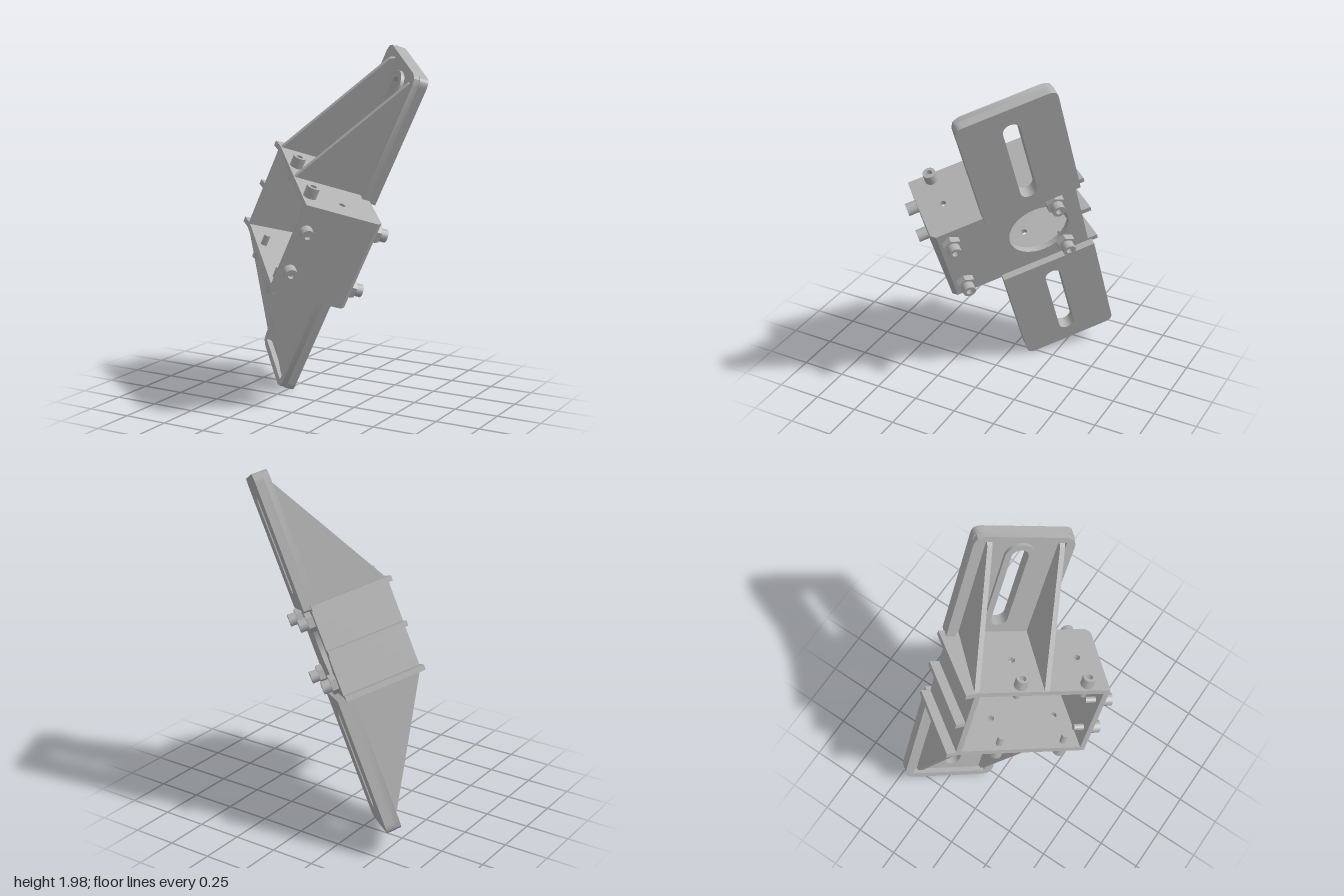
import * as THREE from 'three';
import { toCreasedNormals } from 'three/addons/utils/BufferGeometryUtils.js';

// Local frame: x = across the bracket, y = along the arms, z = towards the open side of the box.
export function createModel() {
  const model = new THREE.Group();
  model.name = 'motorBracket';
  const body = new THREE.Group();
  body.name = 'bracket';
  body.rotation.set(0, -Math.PI / 4, THREE.MathUtils.degToRad(-25), 'ZYX');
  body.position.set(0, 1, 0);
  model.add(body);

  const grey = new THREE.MeshStandardMaterial({ color: 0xb0b0b0 });
  grey.name = 'grey';

  const add = (geo, name, parent = body) => {
    const mesh = new THREE.Mesh(toCreasedNormals(geo, 0.6), grey);
    mesh.name = name;
    parent.add(mesh);
    return mesh;
  };
  const polygon = (pts) => new THREE.Shape(pts.map(([x, y]) => new THREE.Vector2(x, y)));
  const extrude = (shape, depth) =>
    new THREE.ExtrudeGeometry(shape, { depth, bevelEnabled: false, curveSegments: 16 });
  const circle = (x, y, r) => new THREE.Path().absarc(x, y, r, 0, Math.PI * 2, true);

  // profile in (x, z), extruded along y
  const slabY = (pts, y0, y1, name, holes = []) => {
    const s = polygon(pts.map(([x, z]) => [x, -z]));
    holes.forEach(([x, z, r]) => s.holes.push(circle(x, -z, r)));
    add(extrude(s, y1 - y0).rotateX(-Math.PI / 2).translate(0, y0, 0), name);
  };
  // shape in (x, y), extruded along z
  const slabZ = (shape, z0, z1, name) => add(extrude(shape, z1 - z0).translate(0, 0, z0), name);
  // profile in (z, y), extruded along x
  const slabX = (pts, x0, x1, name) =>
    add(extrude(polygon(pts.map(([z, y]) => [-z, y])), x1 - x0)
      .rotateY(Math.PI / 2).translate(x0, 0, 0), name);

  // Stadium outline around x = cx, from y0 to y1
  const stadium = (path, cx, y0, y1, r) => {
    path.moveTo(cx + r, y0 + r);
    path.lineTo(cx + r, y1 - r);
    path.absarc(cx, y1 - r, r, 0, Math.PI, false);
    path.lineTo(cx - r, y0 + r);
    path.absarc(cx, y0 + r, r, Math.PI, Math.PI * 2, false);
    return path;
  };

  // ---- Box: end walls running out into outer flanges, with small holes
  const endWall = [[-0.43, 0.255], [-0.36, 0.24], [0.38, 0.24], [0.38, -0.175],
    [0.355, -0.2], [-0.49, -0.2]];
  const holes = [[-0.126, 0.015, 0.018], [0.25, 0.005, 0.018]];
  slabY(endWall, 0.235, 0.265, 'upperWall', holes);
  slabY(endWall, -0.265, -0.235, 'lowerWall', holes);
  slabY([[-0.43, 0.25], [-0.37, 0.235], [-0.42, -0.2], [-0.49, -0.2]], -0.015, 0.015, 'middleRib');
  slabY([[-0.345, 0.24], [-0.375, 0.24], [-0.435, -0.2], [-0.405, -0.2]], -0.236, 0.236, 'slantedWall');
  slabY([[0.35, 0.24], [0.38, 0.24], [0.38, -0.175], [0.355, -0.2], [0.33, -0.2]],
    -0.236, 0.236, 'sideWall');

  // Mounting face with its round opening
  const face = polygon([[-0.43, -0.24], [0.35, -0.24], [0.35, 0.24], [-0.43, 0.24]]);
  face.holes.push(circle(-0.185, 0, 0.173));
  slabZ(face, -0.2, -0.165, 'mountingFace');

  // ---- Arms
  const W0 = -0.455, W1 = 0.088, CX = -0.183, END = 1.005;
  for (const side of [1, -1]) {
    const tag = side > 0 ? 'upper' : 'lower';
    const sy = (a, b) => (side > 0 ? [a, b] : [-b, -a]);

    // slotted plate with rounded outer corners
    const r = 0.05;
    const plate = new THREE.Shape();
    plate.moveTo(W0, side * 0.25);
    plate.lineTo(W1, side * 0.25);
    plate.lineTo(W1, side * (END - r));
    plate.quadraticCurveTo(W1, side * END, W1 - r, side * END);
    plate.lineTo(W0 + r, side * END);
    plate.quadraticCurveTo(W0, side * END, W0, side * (END - r));
    plate.closePath();
    const [s0, s1] = sy(0.34, 0.9);
    plate.holes.push(stadium(new THREE.Path(), CX, s0, s1, 0.046));
    slabZ(plate, -0.24, -0.19, tag + 'Plate');

    // raised lip around the slot
    const lip = stadium(new THREE.Shape(), CX, s0 - 0.035, s1 + 0.035, 0.081);
    lip.holes.push(stadium(new THREE.Path(), CX, s0, s1, 0.046));
    slabZ(lip, -0.191, -0.17, tag + 'SlotLip');

    // raised rim along both edges and the end
    const rim = polygon([[W0, 0.25], [W0 + 0.05, 0.25], [W0 + 0.05, END - 0.035],
      [W1 - 0.05, END - 0.035], [W1 - 0.05, 0.25], [W1, 0.25], [W1, END - r],
      [W1 - 0.015, END - 0.015], [W1 - r, END], [W0 + r, END],
      [W0 + 0.015, END - 0.015], [W0, END - r]].map(([x, y]) => [x, side * y]));
    slabZ(rim, -0.191, -0.157, tag + 'Rim');

    // triangular gussets from the box down to the plate
    for (const [x, name] of [[-0.38, 'OuterGusset'], [0.008, 'InnerGusset']]) {
      slabX([[0.24, 0.25], [-0.2, 0.25], [-0.2, 0.96], [-0.157, 0.94]]
        .map(([z, y]) => [z, side * y]), x, x + 0.028, tag + name);
    }
  }

  // ---- Socket-head screws
  const screwProfile = [[0, -0.09], [0.018, -0.09], [0.018, 0], [0.036, 0], [0.036, 0.06],
    [0.018, 0.06], [0.018, 0.03], [0, 0.03]].map(([x, y]) => new THREE.Vector2(x, y));
  const up = new THREE.Vector3(0, 1, 0);
  const screw = (pos, dir, withNut) => {
    const g = new THREE.Group();
    g.name = 'screw';
    g.position.set(...pos);
    g.quaternion.setFromUnitVectors(up, new THREE.Vector3(...dir));
    const bolt = add(new THREE.LatheGeometry(screwProfile, 20), 'bolt', g);
    if (withNut) {
      bolt.position.y = 0.02;
      add(new THREE.CylinderGeometry(0.055, 0.055, 0.035, 6).translate(0, 0.0175, 0), 'nut', g);
    }
    body.add(g);
  };
  for (const s of [1, -1]) {
    for (const x of [-0.12, 0.255]) screw([x, s * 0.265, 0.195], [0, s, 0]);
    screw([0.38, s * 0.12, 0.185], [1, 0, 0]);
    for (const x of [-0.305, 0.29]) screw([x, s * 0.175, -0.2], [0, 0, -1], true);
  }

  return model;
}
